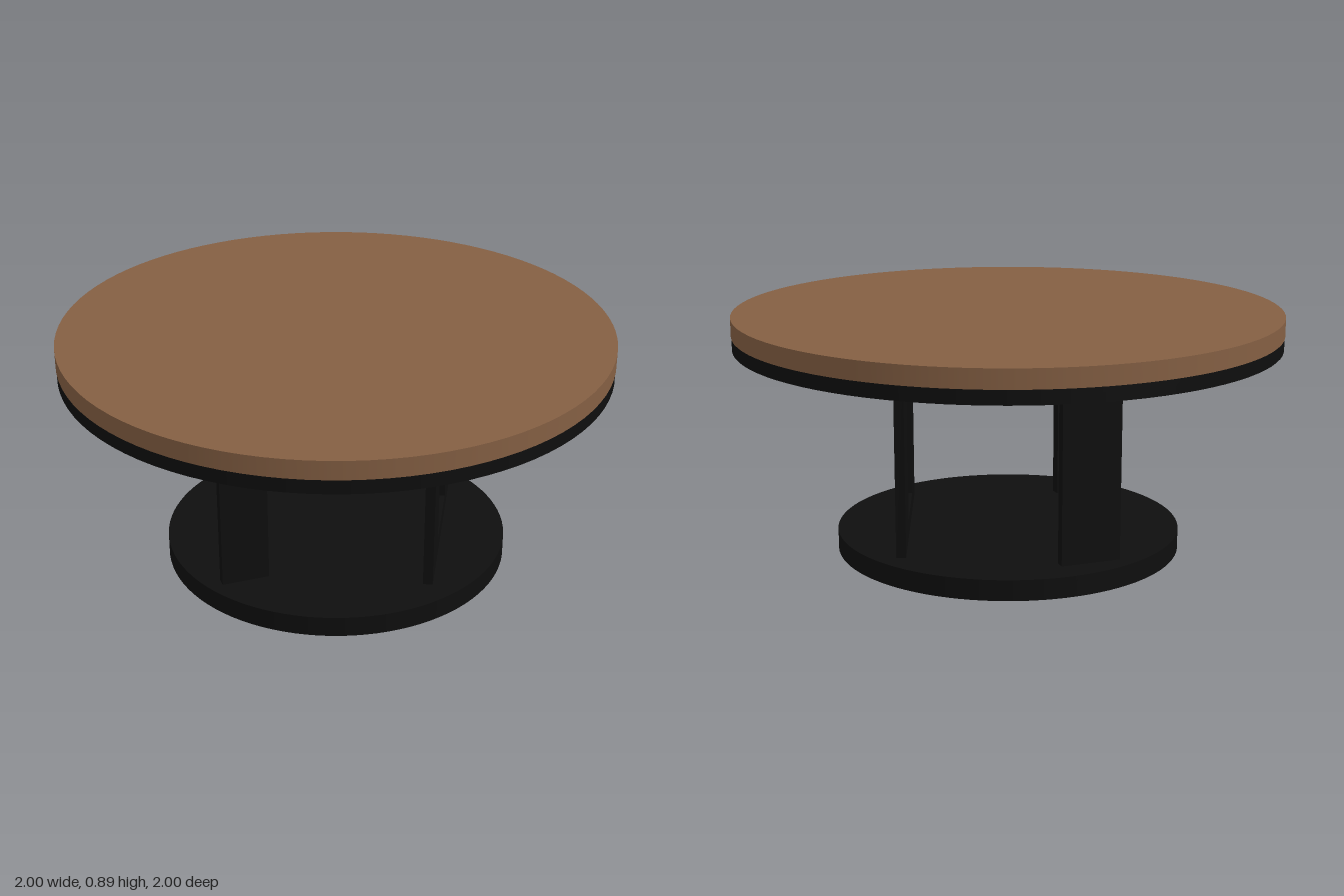
import * as THREE from 'three';

export function createModel() {
  const model = new THREE.Group();
  const wood = new THREE.MeshStandardMaterial({ color: 0x845f43 });
  wood.name = 'brown wood';
  const black = new THREE.MeshStandardMaterial({ color: 0x0e0e0e });
  black.name = 'black metal';

  const BASE_TOP = 0.07, LEG_TOP = 0.78, THICK = 0.035;

  function add(name, geometry, material) {
    const mesh = new THREE.Mesh(geometry, material);
    mesh.name = name;
    model.add(mesh);
    return mesh;
  }

  function disc(name, radius, y0, y1, material) {
    const geometry = new THREE.CylinderGeometry(radius, radius, y1 - y0, 96);
    add(name, geometry, material).position.y = (y0 + y1) / 2;
  }

  // Upright plate centred on (x, z), its width running along (dx, dz)
  function plate(name, x, z, dx, dz, width, hole) {
    const shape = new THREE.Shape();
    const w = width / 2;
    shape.moveTo(-w, BASE_TOP).lineTo(w, BASE_TOP).lineTo(w, LEG_TOP).lineTo(-w, LEG_TOP).closePath();
    if (hole) {
      const [a, b, low, high] = hole;
      shape.holes.push(new THREE.Path().moveTo(a, low).lineTo(a, high).lineTo(b, high).lineTo(b, low).closePath());
    }
    const geometry = new THREE.ExtrudeGeometry(shape, { depth: THICK, bevelEnabled: false });
    geometry.translate(0, 0, -THICK / 2);
    const mesh = add(name, geometry, black);
    mesh.position.set(x, 0, z);
    mesh.rotation.y = Math.atan2(-dz, dx);
  }

  // Round top with its black underlayer, and the round foot
  disc('tableTop', 1, 0.823, 0.89, wood);
  disc('topSupport', 0.998, 0.773, 0.823, black);
  disc('base', 0.637, 0, 0.075, black);

  // One wide open frame and two plain plate legs
  plate('frameLeg', 0.365, -0.122, 0.28, 0.96, 0.776, [-0.149, 0.184, 0.14, 0.722]);
  plate('frontLeg', -0.145, 0.482, 0.72, -0.69, 0.174);
  plate('backLeg', -0.39, -0.355, 0.819, -0.574, 0.22);

  return model;
}
